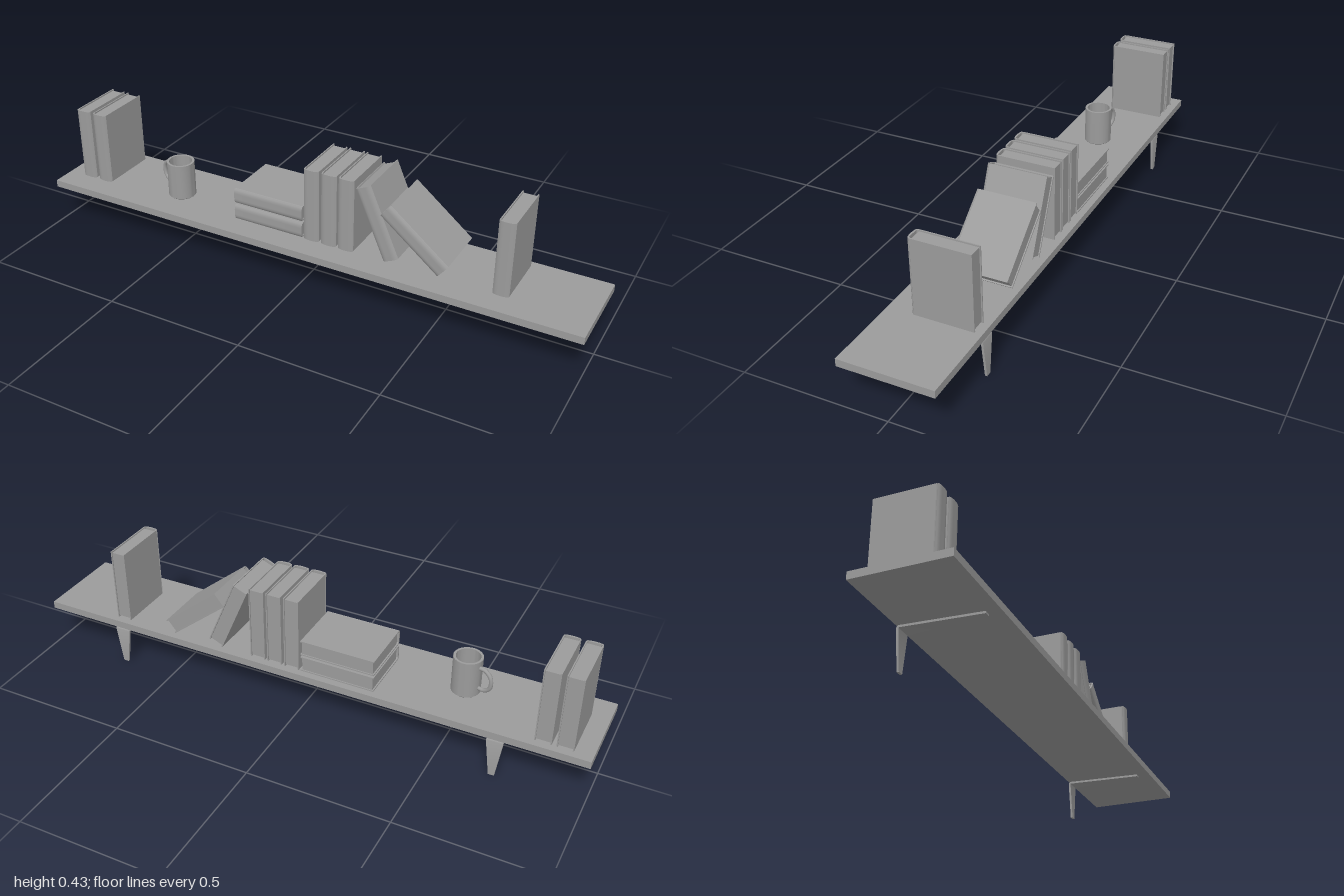
import * as THREE from 'three';
import { toCreasedNormals } from 'three/addons/utils/BufferGeometryUtils.js';

const material = new THREE.MeshStandardMaterial({ color: 0x9b9b9b });
const doubleSided = new THREE.MeshStandardMaterial({ color: 0x9b9b9b, side: THREE.DoubleSide });

const SHELF_TOP = 0.168;
const BOOK = { w: 0.055, h: 0.266, back: -0.135, hinge: 0.068, front: 0.077 };

function mesh(name, geometry, mat = material) {
  const m = new THREE.Mesh(geometry, mat);
  m.name = name;
  return m;
}

// Extrude an (x, z) plan upright, centred on y = 0
function upright(shape, height) {
  const g = new THREE.ExtrudeGeometry(shape, { depth: height, bevelEnabled: false, curveSegments: 8 });
  g.translate(0, 0, -height / 2);
  g.rotateX(Math.PI / 2);
  return toCreasedNormals(g, 0.5);
}

// Hardback cover: two boards, hinge grooves and a rounded spine
function coverGeometry() {
  const a = BOOK.w / 2, t = 0.004, g = 0.002, { back, hinge, front } = BOOK;
  const s = new THREE.Shape();
  s.moveTo(a, back);
  s.lineTo(a, hinge - 0.002);
  s.lineTo(a - g, hinge);
  s.lineTo(a, hinge + 0.002);
  s.bezierCurveTo(a - 0.004, front + 0.002, -a + 0.004, front + 0.002, -a, hinge + 0.002);
  s.lineTo(-a + g, hinge);
  s.lineTo(-a, hinge - 0.002);
  s.lineTo(-a, back);
  s.lineTo(-a + t, back);
  s.lineTo(-a + t, hinge - 0.004);
  s.lineTo(-a + t + 0.003, hinge + 0.002);
  s.lineTo(a - t - 0.003, hinge + 0.002);
  s.lineTo(a - t, hinge - 0.004);
  s.lineTo(a - t, back);
  s.closePath();
  return upright(s, BOOK.h);
}

// Bent bracket: a box swept round an L, tapering to both ends
function bracketGeometry() {
  const path = [[0.116, 0.1375], [-0.150, 0.1375]];
  for (let i = 1; i <= 6; i++) {
    const a = (i / 6) * Math.PI / 2;
    path.push([-0.150 - 0.0055 * Math.sin(a), 0.132 + 0.0055 * Math.cos(a)]);
  }
  path.push([-0.1555, 0]);
  const n = path.length - 1;
  const g = new THREE.BoxGeometry(1, 1, 1, 1, 1, n);
  const p = g.attributes.position;
  for (let i = 0; i < p.count; i++) {
    const k = Math.round((0.5 - p.getZ(i)) * n);
    const [z, y] = path[k];
    const bend = THREE.MathUtils.clamp((k - 1) / 6, 0, 1) * Math.PI / 2;
    const off = p.getY(i) * 0.0075;
    const width = k === 0 || k === n ? 0.02 : 0.056;
    p.setXYZ(i, p.getX(i) * width, y + off * Math.cos(bend), z - off * Math.sin(bend));
  }
  return toCreasedNormals(g, 0.5);
}

function createMug() {
  const mug = new THREE.Group();
  mug.name = 'mug';
  const profile = [[0, 0], [0.046, 0], [0.049, 0.003], [0.049, 0.133],
    [0.041, 0.133], [0.041, 0.01], [0, 0.01]].map(([x, y]) => new THREE.Vector2(x, y));
  mug.add(mesh('mugBody', toCreasedNormals(new THREE.LatheGeometry(profile, 40), 0.6), doubleSided));
  const curve = new THREE.CatmullRomCurve3([[-0.045, 0.107], [-0.07, 0.106], [-0.089, 0.09],
    [-0.094, 0.067], [-0.089, 0.046], [-0.07, 0.031], [-0.045, 0.029]]
    .map(([x, y]) => new THREE.Vector3(x, y, 0)));
  const handle = mesh('mugHandle', new THREE.TubeGeometry(curve, 32, 0.007, 10));
  handle.rotation.y = -0.28;
  mug.add(handle);
  mug.position.set(-0.535, SHELF_TOP, 0.015);
  return mug;
}

export function createModel() {
  const model = new THREE.Group();
  model.name = 'shelfWithBooks';

  // Board
  const board = mesh('shelfBoard', new THREE.BoxGeometry(2, 0.026, 0.32));
  board.position.y = SHELF_TOP - 0.013;
  model.add(board);

  // Brackets
  const bracket = bracketGeometry();
  for (const side of [-1, 1]) {
    const b = mesh(side < 0 ? 'rightBracket' : 'leftBracket', bracket);
    b.position.x = side * 0.698;
    model.add(b);
  }

  // Page block, set slightly inside the cover
  const pagesBack = BOOK.back + 0.004, pagesFront = BOOK.hinge - 0.004;
  const pages = new THREE.BoxGeometry(BOOK.w - 0.008, BOOK.h - 0.01, pagesFront - pagesBack);
  pages.translate(0, 0, (pagesBack + pagesFront) / 2);

  // Books: [name, centre x, centre y, tilt]
  const cover = coverGeometry();
  const standY = SHELF_TOP + BOOK.h / 2;
  const books = [-0.911, -0.841, 0.028, 0.093, 0.157, 0.703].map((x) => ['standingBook', x, standY, 0]);
  for (const i of [0, 1]) {
    books.push(['stackedBook', -0.139, SHELF_TOP + BOOK.w / 2 + i * 0.063, Math.PI / 2]);
  }
  books.push(['leaningBook', 0.27, 0.3005, 0.41], ['slidingBook', 0.402, 0.274, 0.89]);
  for (const [name, x, y, tilt] of books) {
    const book = new THREE.Group();
    book.name = name;
    book.add(mesh('cover', cover), mesh('pages', pages));
    book.position.set(x, y, 0);
    book.rotation.z = tilt;
    model.add(book);
  }

  model.add(createMug());
  return model;
}
